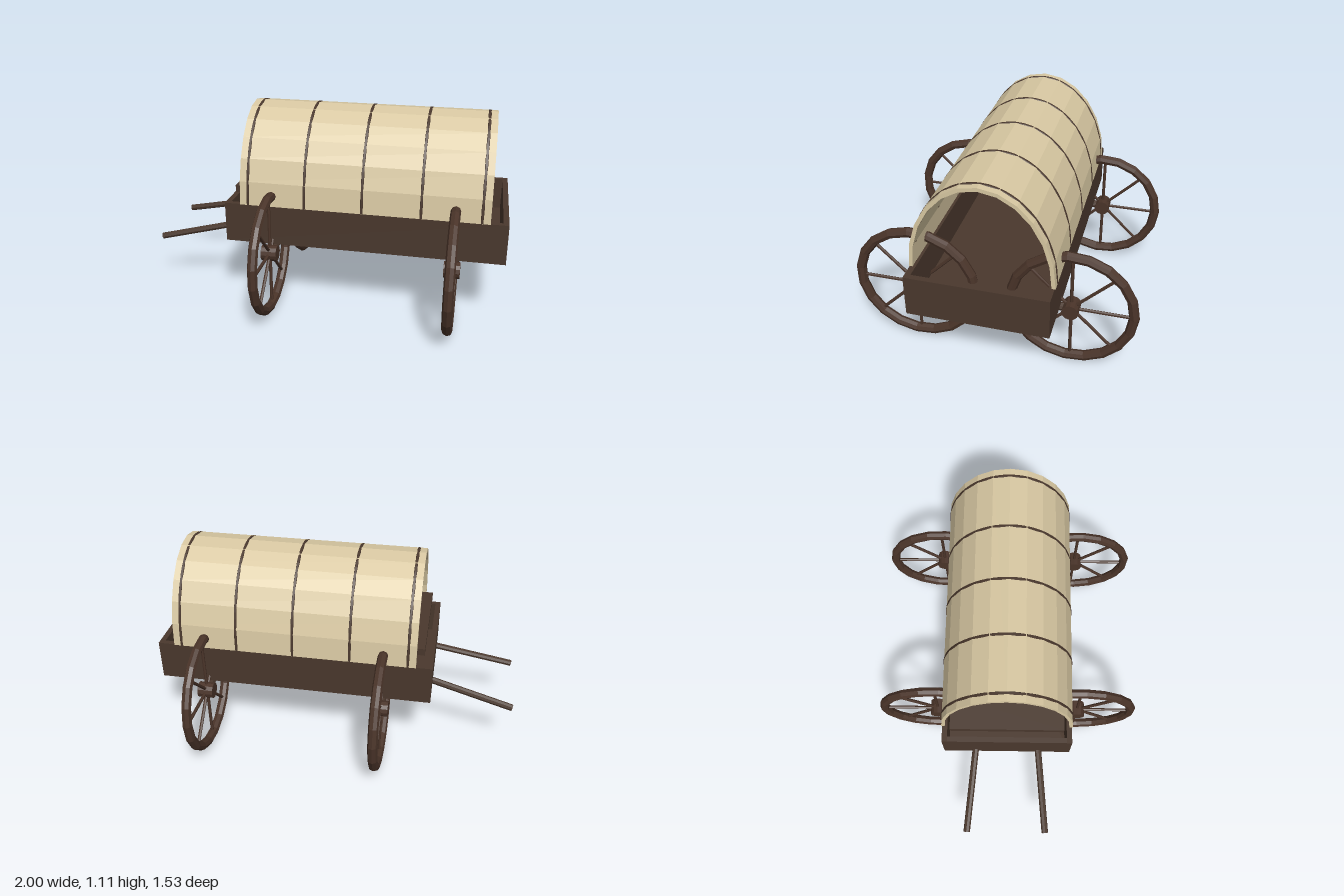
import * as THREE from 'three';

const mat = (color) => new THREE.MeshStandardMaterial({ color, flatShading: true });

export function createModel() {
  const wagon = new THREE.Group();
  wagon.name = 'coveredWagon';
  const wood = mat(0x4a382d);
  const wheelWood = mat(0x4a3429);
  const cloth = mat(0xd9c9a3);

  const add = (parent, name, geometry, material, x = 0, y = 0, z = 0) => {
    const mesh = new THREE.Mesh(geometry, material);
    mesh.name = name;
    mesh.position.set(x, y, z);
    parent.add(mesh);
    return mesh;
  };

  // Round bar between two points
  const bar = (parent, name, a, b, radius, material, sides = 8) => {
    const dir = b.clone().sub(a);
    const mesh = add(parent, name, new THREE.CylinderGeometry(radius, radius, dir.length(), sides), material);
    mesh.position.copy(a).add(b).multiplyScalar(0.5);
    mesh.quaternion.setFromUnitVectors(new THREE.Vector3(0, 1, 0), dir.normalize());
    return mesh;
  };

  // Open wagon bed: floor and four boards
  const bed = new THREE.Group();
  bed.name = 'bed';
  wagon.add(bed);
  const x0 = -0.54, x1 = 1, midX = (x0 + x1) / 2, length = x1 - x0;
  const halfW = 0.365, bottom = 0.39, top = 0.615, board = 0.03;
  const midY = (bottom + top) / 2, height = top - bottom;
  add(bed, 'floor', new THREE.BoxGeometry(length - board, 0.04, halfW * 2 - board), wood, midX, bottom + 0.02, 0);
  for (const s of [-1, 1]) {
    add(bed, 'sideBoard', new THREE.BoxGeometry(length, height, board), wood, midX, midY, s * (halfW - board / 2));
    add(bed, 'endBoard', new THREE.BoxGeometry(board, height, halfW * 2 - board * 2), wood,
      midX + s * (length - board) / 2, midY, 0);
  }

  // Driver's bench
  add(wagon, 'seat', new THREE.BoxGeometry(0.19, 0.04, 0.63), wood, -0.395, 0.685, 0);

  // Faceted canvas arch with thickness
  const arch = (a, b, n) => Array.from({ length: n + 1 }, (_, i) => {
    const t = (i / n) * Math.PI;
    return new THREE.Vector2(Math.cos(t) * a, Math.sin(t) * b);
  });
  const profile = new THREE.Shape([...arch(0.37, 0.505, 12), ...arch(0.35, 0.485, 12).reverse()]);
  const canvas = new THREE.ExtrudeGeometry(profile, { depth: 1.355, bevelEnabled: false });
  canvas.rotateY(Math.PI / 2);
  add(wagon, 'canopy', canvas, cloth, -0.45, top, 0);

  // Hoops that just break through the canvas
  const hoopPath = new THREE.CatmullRomCurve3(
    arch(0.36, 0.495, 24).map((p) => new THREE.Vector3(0, p.y, p.x)));
  const hoopGeometry = new THREE.TubeGeometry(hoopPath, 36, 0.0118, 6);
  for (let i = 0; i < 5; i++) {
    add(wagon, 'hoop', hoopGeometry, wood, -0.405 + i * 0.3165, top, 0);
  }

  // Wheels face along x, in pairs joined by an axle
  const wheelY = 0.36, wheelZ = 0.417;
  const rimGeometry = new THREE.TorusGeometry(0.322, 0.027, 8, 19).rotateY(Math.PI / 2);
  const hubGeometry = new THREE.CylinderGeometry(0.044, 0.044, 0.086, 12).rotateZ(Math.PI / 2);
  for (const x of [-0.272, 0.724]) {
    bar(wagon, 'axle', new THREE.Vector3(x, wheelY, -wheelZ), new THREE.Vector3(x, wheelY, wheelZ), 0.022, wood);
    for (const s of [-1, 1]) {
      const wheel = new THREE.Group();
      wheel.name = 'wheel';
      wheel.position.set(x, wheelY, s * wheelZ);
      wagon.add(wheel);
      add(wheel, 'rim', rimGeometry, wheelWood);
      add(wheel, 'hub', hubGeometry, wheelWood);
      for (let i = 0; i < 8; i++) {
        const t = (i * Math.PI) / 4;
        bar(wheel, 'spoke', new THREE.Vector3(),
          new THREE.Vector3(0, Math.sin(t) * 0.315, Math.cos(t) * 0.315), 0.009, wheelWood, 6);
      }
    }
  }

  // Splayed pulling shafts
  for (const s of [-1, 1]) {
    bar(wagon, 'shaft', new THREE.Vector3(-0.52, 0.418, s * 0.18), new THREE.Vector3(-0.996, 0.308, s * 0.225), 0.019, wood);
  }

  return wagon;
}
